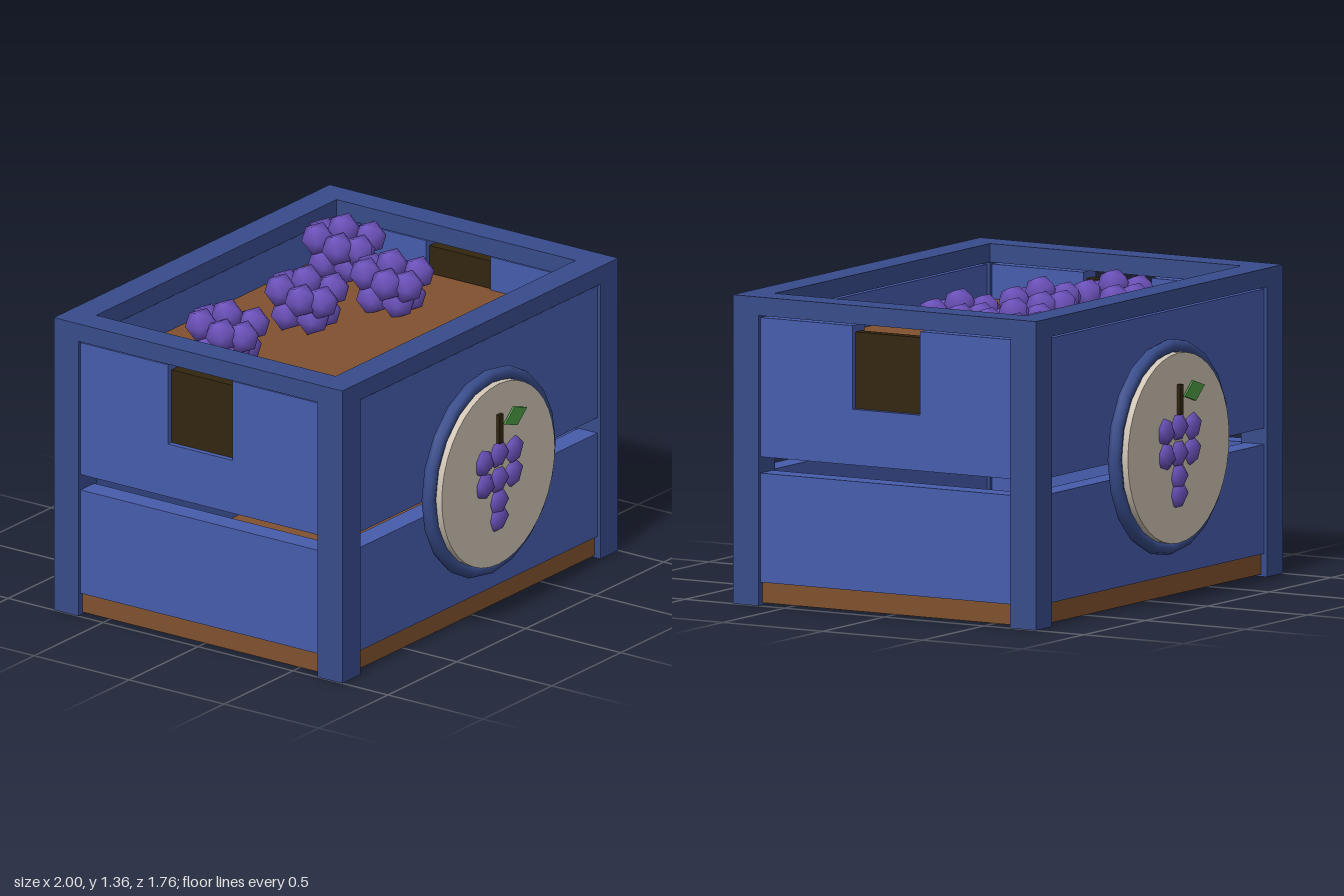
import * as THREE from 'three';
import { mergeVertices } from 'three/addons/utils/BufferGeometryUtils.js';

const mat = (name, color, extra = {}) => {
  const m = new THREE.MeshStandardMaterial({ color, ...extra });
  m.name = name;
  return m;
};

export function createModel() {
  const frameBlue = mat('frame blue', 0x384c8b);
  const panelBlue = mat('panel blue', 0x475dad);
  const brown = mat('wood brown', 0x80512e);
  const dark = mat('dark brown', 0x33260f);
  const cream = mat('cream', 0xcfc3b4);
  const purple = mat('grape purple', 0x6d52bd);
  const green = mat('leaf green', 0x4d9d45, { side: THREE.DoubleSide });

  const crate = new THREE.Group();
  crate.name = 'crate';

  const add = (parent, name, geo, material, x = 0, y = 0, z = 0) => {
    const m = new THREE.Mesh(geo, material);
    m.name = name;
    m.position.set(x, y, z);
    parent.add(m);
    return m;
  };
  // box given by its bottom and top heights
  const box = (name, material, w, y0, y1, d, x = 0, z = 0) =>
    add(crate, name, new THREE.BoxGeometry(w, y1 - y0, d), material, x, (y0 + y1) / 2, z);

  // floor and soil
  box('floor', brown, 1.94, 0.01, 0.1, 1.46);
  box('soil', brown, 1.8, 1.03, 1.09, 1.32);

  // upper side panel with a handle notch open at the top
  const notched = new THREE.Shape([
    [-0.68, 0.64], [0.68, 0.64], [0.68, 1.24], [0.17, 1.24],
    [0.17, 0.88], [-0.17, 0.88], [-0.17, 1.24], [-0.68, 1.24],
  ].map(([x, y]) => new THREE.Vector2(x, y)));
  const notchedGeo = new THREE.ExtrudeGeometry(notched, { depth: 0.1, bevelEnabled: false });
  notchedGeo.translate(0, 0, -0.05);
  notchedGeo.rotateY(Math.PI / 2);

  for (const s of [-1, 1]) {
    for (const t of [-1, 1]) box('cornerPost', frameBlue, 0.13, 0, 1.25, 0.13, s * 0.935, t * 0.695);
    box('longRim', frameBlue, 2, 1.25, 1.33, 0.13, 0, s * 0.695);
    box('shortRim', frameBlue, 0.13, 1.25, 1.33, 1.26, s * 0.935);
    box('lowerLongPanel', panelBlue, 1.8, 0.1, 0.57, 0.1, 0, s * 0.695);
    box('upperLongPanel', panelBlue, 1.8, 0.64, 1.24, 0.1, 0, s * 0.695);
    box('lowerSidePanel', panelBlue, 0.1, 0.1, 0.57, 1.36, s * 0.935);
    add(crate, 'upperSidePanel', notchedGeo, panelBlue, s * 0.935);
    box('handleRecess', dark, 0.05, 0.88, 1.21, 0.34, s * 0.935);
  }

  // low-sided grape with smooth normals
  let grapeGeo = new THREE.IcosahedronGeometry(1, 0);
  grapeGeo.deleteAttribute('uv');
  grapeGeo.deleteAttribute('normal');
  grapeGeo = mergeVertices(grapeGeo);
  grapeGeo.computeVertexNormals();

  // round badge with a bunch of grapes
  const leafShape = new THREE.Shape([
    [0.03, 0.22], [0.12, 0.19], [0.19, 0.25], [0.1, 0.28],
  ].map(([x, y]) => new THREE.Vector2(x, y)));
  const makeBadge = () => {
    const badge = new THREE.Group();
    badge.name = 'badge';
    add(badge, 'badgeRing', new THREE.TorusGeometry(0.434, 0.031, 8, 20), frameBlue, 0, 0, 0.804);
    const disc = new THREE.CylinderGeometry(0.41, 0.41, 0.075, 40);
    disc.rotateX(Math.PI / 2);
    add(badge, 'badgeDisc', disc, cream, 0, 0, 0.8175);
    add(badge, 'badgeStem', new THREE.BoxGeometry(0.028, 0.13, 0.02), dark, 0, 0.21, 0.862);
    add(badge, 'badgeLeaf', new THREE.ExtrudeGeometry(leafShape, { depth: 0.009, bevelEnabled: false }),
      green, 0, 0, 0.86);
    for (const [x, y] of [[-0.105, 0.08], [0, 0.09], [0.11, 0.08], [-0.1, -0.025], [0, -0.025],
      [0.105, -0.025], [0, -0.125], [0, -0.2]]) {
      const g = add(badge, 'badgeGrape', grapeGeo, purple, x, y, 0.85);
      g.scale.set(0.068, 0.067, 0.036);
      g.rotation.z = x * 3;
    }
    badge.position.y = 0.67;
    return badge;
  };
  const front = makeBadge();
  const back = makeBadge();
  back.rotation.y = Math.PI;
  crate.add(front, back);

  // grape clusters lying on the soil
  const offsets = [
    [-0.08, 0.17, -0.07], [0.02, 0.15, -0.115], [0.1, 0.15, -0.06], [0.01, 0.2, 0],
    [-0.09, 0.15, 0.045], [-0.035, 0.14, 0.115], [0.085, 0.16, 0.085],
    [-0.06, 0.06, -0.05], [0.06, 0.06, -0.06], [-0.04, 0.06, 0.07], [0.06, 0.06, 0.06],
  ];
  for (const [x, y, z] of [[-0.435, 1.075, -0.265], [0.05, 1.1, -0.2], [0.455, 1.085, -0.045],
    [0.65, 1.1, -0.44]]) {
    const cluster = new THREE.Group();
    cluster.name = 'grapeCluster';
    offsets.forEach(([a, b, c]) => add(cluster, 'grape', grapeGeo, purple, a, b, c).scale.setScalar(0.075));
    cluster.position.set(x, y, z);
    crate.add(cluster);
  }
  return crate;
}
